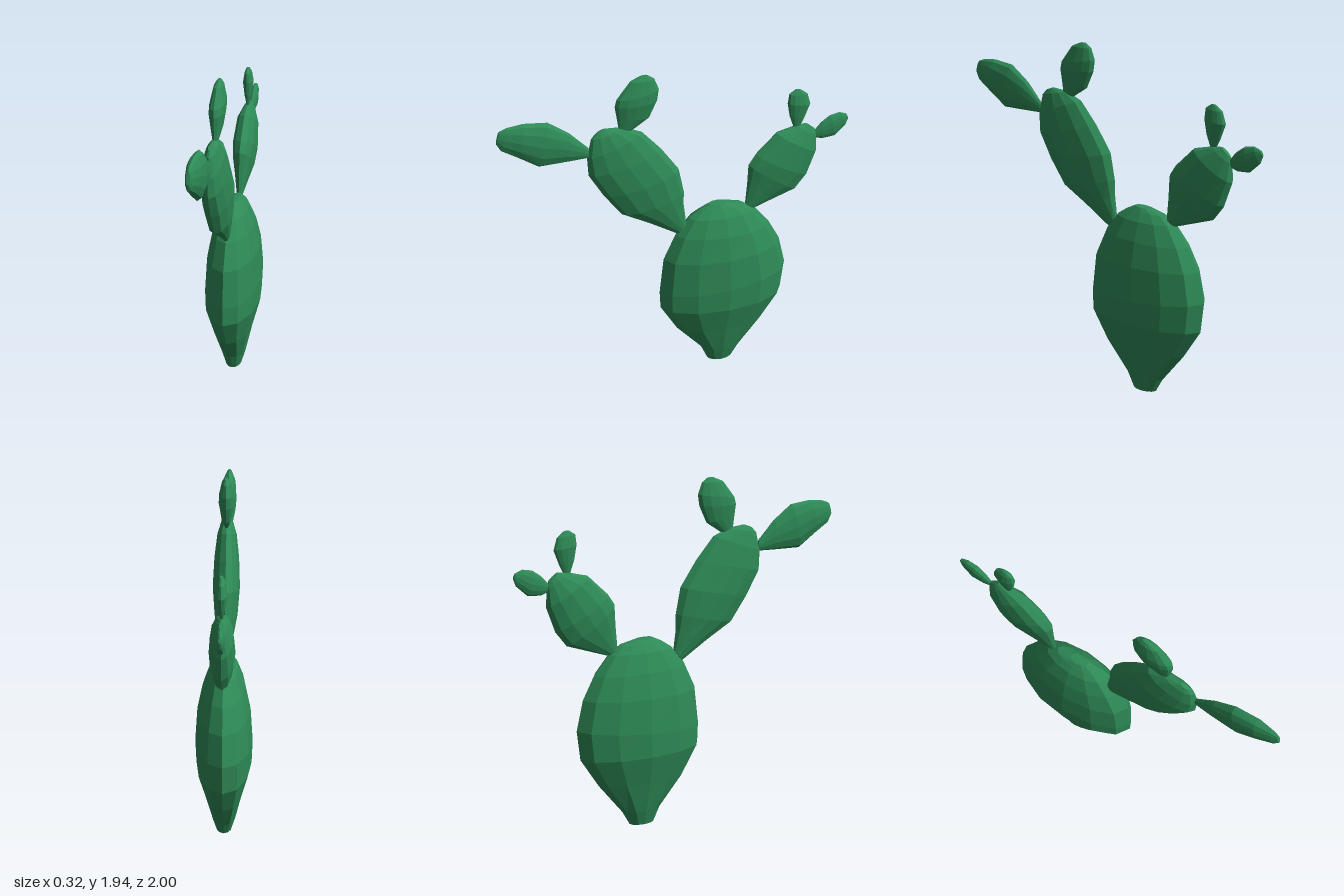
import * as THREE from 'three';

const SIDES = 12;
const material = new THREE.MeshStandardMaterial({ color: 0x2e8b57, flatShading: true });

// A flat cactus pad lofted through oval rings, listed from its base to its tip.
// Each ring: [z, y of one rim, z, y of the opposite rim, half thickness in x]
function pad(name, rings) {
  const pos = [], idx = [];
  for (const [za, ya, zb, yb, t] of rings) {
    for (let j = 0; j < SIDES; j++) {
      const a = (j / SIDES) * Math.PI * 2, c = Math.cos(a) / 2;
      pos.push(t * Math.sin(a), (ya + yb) / 2 + (ya - yb) * c, (za + zb) / 2 + (za - zb) * c);
    }
  }
  for (let i = 0; i < rings.length - 1; i++) {
    for (let j = 0; j < SIDES; j++) {
      const k = (j + 1) % SIDES, lo = i * SIDES, hi = lo + SIDES;
      idx.push(lo + j, lo + k, hi + k, lo + j, hi + k, hi + j);
    }
  }
  // end caps
  const top = (rings.length - 1) * SIDES;
  for (let j = 1; j < SIDES - 1; j++) {
    idx.push(0, j + 1, j, top, top + j, top + j + 1);
  }
  const geometry = new THREE.BufferGeometry();
  geometry.setAttribute('position', new THREE.Float32BufferAttribute(pos, 3));
  geometry.setIndex(idx);
  geometry.computeVertexNormals();
  const mesh = new THREE.Mesh(geometry, material);
  mesh.name = name;
  return mesh;
}

export function createModel() {
  const cactus = new THREE.Group();
  cactus.name = 'cactus';

  // Large main pad standing on the ground
  cactus.add(pad('mainPad', [
    [-0.18, 0, -0.33, 0, 0.045],
    [-0.14, 0.09, -0.375, 0.08, 0.07],
    [0.01, 0.26, -0.52, 0.26, 0.11],
    [0.11, 0.43, -0.63, 0.43, 0.155],
    [0.115, 0.54, -0.65, 0.6, 0.16],
    [0.09, 0.76, -0.61, 0.77, 0.147],
    [0.02, 0.91, -0.54, 0.9, 0.118],
    [-0.06, 1.01, -0.45, 1.01, 0.08],
    [-0.12, 1.05, -0.38, 1.055, 0.05],
    [-0.18, 1.08, -0.29, 1.075, 0.03],
  ]));

  // Front branch: long pad carrying two smaller ones
  const front = new THREE.Group();
  front.name = 'frontBranch';
  front.add(pad('frontPad', [
    [0.01, 0.92, -0.045, 0.98, 0.02],
    [0.17, 1.02, -0.03, 1.1, 0.045],
    [0.33, 1.11, -0.03, 1.19, 0.065],
    [0.43, 1.25, 0, 1.34, 0.077],
    [0.51, 1.39, 0.1, 1.485, 0.07],
    [0.515, 1.5, 0.21, 1.61, 0.055],
    [0.49, 1.61, 0.31, 1.65, 0.03],
    [0.46, 1.64, 0.41, 1.66, 0.012],
  ]));
  front.add(pad('frontOuterPad', [
    [0.505, 1.5, 0.505, 1.56, 0.012],
    [0.62, 1.497, 0.61, 1.67, 0.032],
    [0.78, 1.495, 0.72, 1.75, 0.045],
    [0.89, 1.57, 0.85, 1.765, 0.04],
    [0.976, 1.625, 0.94, 1.755, 0.022],
    [1, 1.67, 0.98, 1.74, 0.01],
  ]));
  front.add(pad('frontUpperPad', [
    [0.335, 1.64, 0.28, 1.615, 0.012],
    [0.345, 1.71, 0.165, 1.69, 0.03],
    [0.355, 1.78, 0.12, 1.785, 0.043],
    [0.345, 1.82, 0.11, 1.85, 0.042],
    [0.27, 1.915, 0.135, 1.915, 0.025],
    [0.21, 1.94, 0.17, 1.94, 0.01],
  ]));
  cactus.add(front);

  // Back branch: rounded pad carrying two small buds
  const back = new THREE.Group();
  back.name = 'backBranch';
  back.add(pad('backPad', [
    [-0.395, 1.04, -0.44, 1, 0.015],
    [-0.405, 1.17, -0.57, 1.045, 0.037],
    [-0.41, 1.29, -0.7, 1.09, 0.06],
    [-0.45, 1.35, -0.765, 1.175, 0.07],
    [-0.57, 1.465, -0.815, 1.315, 0.06],
    [-0.69, 1.495, -0.81, 1.42, 0.03],
    [-0.745, 1.5, -0.8, 1.455, 0.012],
  ]));
  back.add(pad('backUpperBud', [
    [-0.67, 1.49, -0.71, 1.49, 0.008],
    [-0.645, 1.56, -0.735, 1.54, 0.02],
    [-0.63, 1.64, -0.765, 1.62, 0.03],
    [-0.637, 1.695, -0.745, 1.685, 0.02],
    [-0.675, 1.72, -0.705, 1.715, 0.008],
  ]));
  back.add(pad('backOuterBud', [
    [-0.795, 1.44, -0.8, 1.4, 0.008],
    [-0.84, 1.49, -0.845, 1.385, 0.019],
    [-0.89, 1.525, -0.92, 1.39, 0.026],
    [-0.945, 1.535, -0.985, 1.45, 0.018],
    [-0.985, 1.52, -1, 1.49, 0.008],
  ]));
  cactus.add(back);

  return cactus;
}
